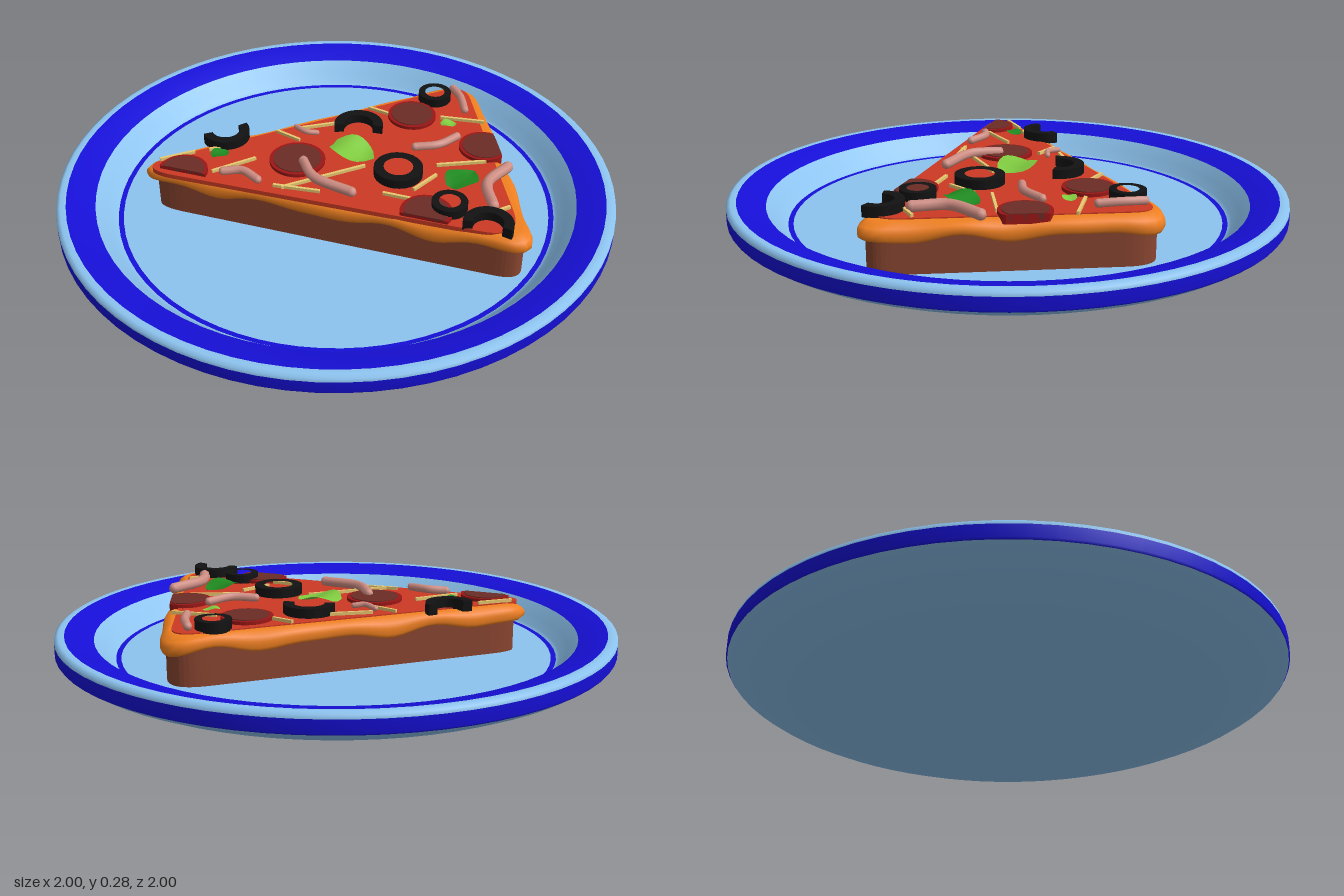
import * as THREE from 'three';

const V2 = (x, z) => new THREE.Vector2(x, -z);
const mat = (color, side = THREE.FrontSide) => new THREE.MeshStandardMaterial({ color, side });
const PALE = mat(0x8dc4f0, THREE.DoubleSide), BLUE = mat(0x160fd8, THREE.DoubleSide);
const CRUST = mat(0x8a4530), CHEESE = mat(0xf08020), SAUCE = mat(0xcc3a24);
const SALAMI = mat(0x6c2c26), SALAMI_RIM = mat(0x9c1616), OLIVE = mat(0x121212);
const ONION = mat(0xcf8e84), SHRED = mat(0xe8c870);
const LEAF_DARK = mat(0x1f8a20, THREE.DoubleSide), LEAF_LIGHT = mat(0x80cc40, THREE.DoubleSide);

// Slice outline corners (x, z) with the rounding length of each
const CORNERS = [[-0.7, -0.32, 0.2], [0.735, -0.258, 0.16], [0.38, 0.73, 0.12]];
const SAUCE_CORNERS = [[-0.68, -0.28, 0.17], [0.68, -0.225, 0.1], [0.35, 0.68, 0.15]];
const CX = 0.14, CZ = 0.05;
const TOP = 0.242;

function roundedShape(corners, scale = 1) {
  const pts = corners.map(([x, z]) => V2(CX + (x - CX) * scale, CZ + (z - CZ) * scale));
  const shape = new THREE.Shape();
  pts.forEach((p, i) => {
    const prev = pts[(i + 2) % 3], next = pts[(i + 1) % 3], r = corners[i][2] * scale;
    const a = prev.clone().sub(p).setLength(r).add(p);
    const b = next.clone().sub(p).setLength(r).add(p);
    if (i === 0) shape.moveTo(a.x, a.y); else shape.lineTo(a.x, a.y);
    shape.quadraticCurveTo(p.x, p.y, b.x, b.y);
  });
  shape.closePath();
  return shape;
}

function add(parent, name, geometry, material) {
  const mesh = new THREE.Mesh(geometry, material);
  mesh.name = name;
  parent.add(mesh);
  return mesh;
}

// Horizontal slab from a shape, between y and y + h
function slab(shape, y, h) {
  const g = new THREE.ExtrudeGeometry(shape, { depth: h, bevelEnabled: false, curveSegments: 12 });
  return g.rotateX(-Math.PI / 2).translate(0, y, 0);
}

// Melted cheese layer: loops around the outline with a wavy, overhanging lip
function cheeseGeometry() {
  const outline = roundedShape(CORNERS).getSpacedPoints(120).slice(0, 120);
  const n = outline.length, pos = [], index = [];
  const rings = [
    [0.94, (w) => 0.195 + 0.014 * w], [0.985, (w) => 0.18 + 0.016 * w],
    [1, (w) => 0.19 + 0.014 * w], [1, (w) => 0.208 + 0.01 * w],
    [0.985, (w) => 0.222 + 0.007 * w], [0.93, () => 0.238],
  ];
  for (const [s, y] of rings) {
    outline.forEach((p, i) => {
      const t = (i / n) * Math.PI * 2;
      const w = 0.65 * Math.sin(9 * t + 0.6) + 0.35 * Math.sin(14 * t + 2);
      const k = s + 0.008 * Math.sin(11 * t);
      pos.push(CX + (p.x - CX) * k, y(w), CZ + (-p.y - CZ) * k);
    });
  }
  pos.push(CX, 0.238, CZ);
  const centre = rings.length * n;
  for (let i = 0; i < n; i++) {
    const j = (i + 1) % n;
    for (let r = 0; r < rings.length - 1; r++) {
      const a = r * n, b = a + n;
      index.push(a + j, a + i, b + i, a + j, b + i, b + j);
    }
    index.push(centre - n + j, centre - n + i, centre);
  }
  const g = new THREE.BufferGeometry();
  g.setAttribute('position', new THREE.Float32BufferAttribute(pos, 3));
  g.setIndex(index);
  g.computeVertexNormals();
  return g;
}

// Disc trimmed where it would pass the sides of the slice
function trimmedDisc(x, z, r) {
  const pts = [];
  for (let i = 0; i < 32; i++) {
    const t = (i / 32) * Math.PI * 2;
    const p = [x + r * Math.cos(t), z + r * Math.sin(t)];
    CORNERS.forEach(([ax, az], k) => {
      const [bx, bz] = CORNERS[(k + 1) % 3], len = Math.hypot(bx - ax, bz - az);
      const nx = -(bz - az) / len, nz = (bx - ax) / len;
      const d = (p[0] - ax) * nx + (p[1] - az) * nz - 0.012;
      if (d < 0) { p[0] -= nx * d; p[1] -= nz * d; }
    });
    pts.push(V2(p[0], p[1]));
  }
  return new THREE.Shape(pts);
}

// Flat ring or part of a ring; angles run from +x towards +z
function ringShape(x, z, R, r, start, length) {
  const outer = [], inner = [];
  for (let i = 0; i <= 28; i++) {
    const t = start + (length * i) / 28, c = Math.cos(t), s = Math.sin(t);
    outer.push(V2(x + R * c, z + R * s));
    inner.push(V2(x + r * c, z + r * s));
  }
  if (length < 6.28) return new THREE.Shape(outer.concat(inner.reverse()));
  const shape = new THREE.Shape(outer.slice(0, 28));
  shape.holes.push(new THREE.Path(inner.slice(0, 28)));
  return shape;
}

// Leaf folded along its middle vein
function leafGeometry(len) {
  const g = new THREE.PlaneGeometry(1, 1, 8, 4).rotateX(-Math.PI / 2);
  const p = g.attributes.position;
  for (let i = 0; i < p.count; i++) {
    const u = p.getX(i) + 0.5, v = p.getZ(i) * 2;
    const w = 0.42 * Math.pow(Math.sin(Math.PI * Math.min(1, 0.08 + u * 0.92)), 0.7);
    p.setXYZ(i, (u - 0.5) * len, len * (0.2 * Math.abs(v) * w + 0.06 * Math.sin(u * 6)), v * w * len);
  }
  g.computeVertexNormals();
  return g;
}

export function createModel() {
  const model = new THREE.Group();
  model.name = 'pizzaOnPlate';

  // Plate, one turned band per colour
  const plate = new THREE.Group();
  plate.name = 'plate';
  model.add(plate);
  const bands = [
    ['plateUnderside', PALE, [[0, 0], [0.68, 0.001], [0.76, 0.007], [0.82, 0.019], [0.9, 0.049], [0.96, 0.077], [0.995, 0.1]]],
    ['outerBand', BLUE, [[0.995, 0.1], [1, 0.107], [1, 0.15]]],
    ['rim', PALE, [[1, 0.15], [0.998, 0.162], [0.985, 0.17], [0.965, 0.168]]],
    ['innerBand', BLUE, [[0.965, 0.168], [0.92, 0.16], [0.865, 0.142]]],
    ['innerWall', PALE, [[0.865, 0.142], [0.83, 0.105], [0.805, 0.072], [0.792, 0.065]]],
    ['floorRing', BLUE, [[0.792, 0.065], [0.774, 0.064]]],
    ['plateFloor', PALE, [[0.774, 0.064], [0, 0.064]]],
  ];
  for (const [name, m, pts] of bands) {
    add(plate, name, new THREE.LatheGeometry(pts.map(([r, y]) => new THREE.Vector2(r, y)), 72), m);
  }

  // Slice layers
  const slice = new THREE.Group();
  slice.name = 'pizzaSlice';
  model.add(slice);
  add(slice, 'crust', slab(roundedShape(CORNERS, 0.96), 0.064, 0.15), CRUST);
  add(slice, 'cheese', cheeseGeometry(), CHEESE);
  add(slice, 'sauce', slab(roundedShape(SAUCE_CORNERS), 0.225, TOP - 0.225), SAUCE);

  // Salami discs: x, z, radius
  [[-0.52, -0.17, 0.088], [-0.13, -0.05, 0.1], [0.38, -0.12, 0.09], [0.51, 0.18, 0.09], [0.13, 0.42, 0.09]]
    .forEach(([x, z, r]) => {
      add(slice, 'salamiRim', slab(trimmedDisc(x, z, r), 0.222, 0.032), SALAMI_RIM);
      add(slice, 'salami', slab(trimmedDisc(x, z, r * 0.86), 0.235, 0.022), SALAMI);
    });

  // Olive rings: x, z, radius, start, length
  const FULL = Math.PI * 2;
  [[0.155, 0.18, 0.087, 0, FULL], [0.52, -0.19, 0.062, 0, FULL], [0.215, 0.43, 0.062, 0, FULL],
    [-0.3, -0.305, 0.085, -0.1, 3.35], [0.155, -0.125, 0.09, 3.5, 3.5], [0.27, 0.585, 0.085, 3.7, 3.6]]
    .forEach(([x, z, r, start, len]) =>
      add(slice, 'olive', slab(ringShape(x, z, r, r * 0.6, start, len), 0.236, 0.039), OLIVE));

  // Onion strips: three points (x, z) and thickness
  [[-0.12, -0.02, -0.13, 0.09, -0.05, 0.22, 0.018], [-0.4, -0.09, -0.34, -0.06, -0.31, 0.01, 0.015],
    [-0.05, -0.23, -0.035, -0.18, 0, -0.16, 0.01], [0.61, -0.2, 0.6, -0.13, 0.57, -0.05, 0.015],
    [0.28, 0.08, 0.36, 0.11, 0.45, 0.09, 0.015], [0.345, 0.5, 0.39, 0.39, 0.51, 0.335, 0.02]]
    .forEach(([ax, az, bx, bz, cx, cz, r]) => {
      const y = TOP + 0.017;
      const curve = new THREE.CatmullRomCurve3([
        new THREE.Vector3(ax, y, az), new THREE.Vector3(bx, y + 0.004, bz), new THREE.Vector3(cx, y, cz)]);
      add(slice, 'onion', new THREE.TubeGeometry(curve, 14, r, 8), ONION);
      for (const [x, z] of [[ax, az], [cx, cz]]) {
        add(slice, 'onionEnd', new THREE.SphereGeometry(r, 8, 6), ONION).position.set(x, y, z);
      }
    });

  // Basil leaves: x, z, length, turn
  [[0.07, 0, 0.17, -1, LEAF_LIGHT], [0.335, 0.32, 0.14, 0.4, LEAF_DARK],
    [-0.365, -0.2, 0.07, 0.1, LEAF_DARK], [0.47, 0, 0.06, -0.3, LEAF_LIGHT]]
    .forEach(([x, z, len, turn, m]) => {
      const leaf = add(slice, 'leaf', leafGeometry(len), m);
      leaf.position.set(x, TOP + 0.012, z);
      leaf.rotation.y = turn;
    });

  // Grated cheese: both ends (x, z)
  [[-0.57, -0.27, -0.44, -0.26], [-0.43, -0.12, -0.26, -0.125], [-0.39, -0.25, -0.29, -0.23],
    [-0.27, 0.05, -0.14, 0.155], [-0.25, 0.075, 0.07, 0.09], [-0.12, -0.25, -0.07, -0.16],
    [-0.04, -0.23, 0.14, -0.19], [0.26, -0.24, 0.32, -0.15], [0.47, -0.06, 0.6, 0.04],
    [0.3, 0.2, 0.47, 0.26], [0.155, 0.29, 0.27, 0.25], [0.05, 0.26, 0.12, 0.33], [0.23, 0.52, 0.4, 0.52]]
    .forEach(([ax, az, bx, bz]) => {
      const g = new THREE.BoxGeometry(Math.hypot(bx - ax, bz - az), 0.012, 0.01);
      const shred = add(slice, 'cheeseShred', g, SHRED);
      shred.position.set((ax + bx) / 2, TOP + 0.005, (az + bz) / 2);
      shred.rotation.y = -Math.atan2(bz - az, bx - ax);
    });

  return model;
}
